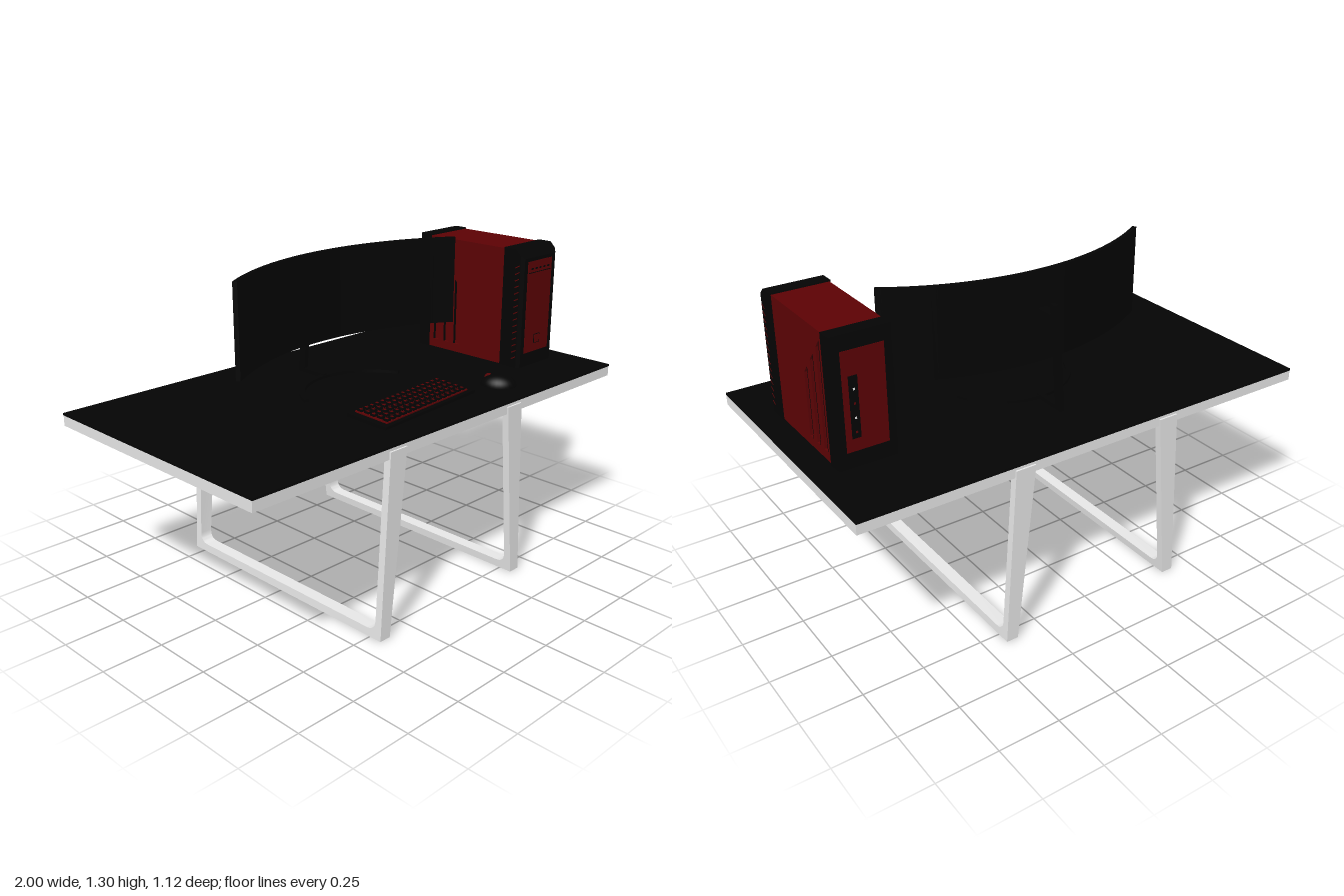
import * as THREE from 'three';
import { toCreasedNormals } from 'three/addons/utils/BufferGeometryUtils.js';
import { ConvexGeometry } from 'three/addons/geometries/ConvexGeometry.js';

const mat = (name, color) => new THREE.MeshStandardMaterial({ name, color });

export function createModel() {
  const black = mat('black', 0x040404);
  const red = mat('dark red', 0x5c0204);
  const white = mat('white', 0xf0f0f0);
  const root = new THREE.Group();
  root.name = 'computerDesk';

  const group = (name, parent = root) => {
    const g = new THREE.Group();
    g.name = name;
    parent.add(g);
    return g;
  };
  const add = (parent, name, geo, m) => {
    const mesh = new THREE.Mesh(geo, m);
    mesh.name = name;
    parent.add(mesh);
    return mesh;
  };
  // box given by its min and max corners
  const box = (parent, name, m, [x0, x1], [y0, y1], [z0, z1]) => {
    const mesh = add(parent, name, new THREE.BoxGeometry(x1 - x0, y1 - y0, z1 - z0), m);
    mesh.position.set((x0 + x1) / 2, (y0 + y1) / 2, (z0 + z1) / 2);
    return mesh;
  };
  const poly = (pts) => new THREE.Shape(pts.map(([a, b]) => new THREE.Vector2(a, b)));
  // outline in (-z, y), extruded along +x from x0
  const sideExtrude = (shape, x0, width) =>
    new THREE.ExtrudeGeometry(shape, { depth: width, bevelEnabled: false, curveSegments: 8 })
      .rotateY(Math.PI / 2).translate(x0, 0, 0);
  // curved band seen from above, bulging to -z
  const arcBand = (cz, rIn, rOut, half, y0, h) => {
    const s = new THREE.Shape();
    const a = Math.PI / 2;
    s.absarc(0, -cz, rOut, a - half, a + half, false);
    s.absarc(0, -cz, rIn, a + half, a - half, true);
    const g = new THREE.ExtrudeGeometry(s, { depth: h, bevelEnabled: false, curveSegments: 32 });
    return toCreasedNormals(g.rotateX(-Math.PI / 2).translate(0, y0, 0), 0.5);
  };

  // Table: black top, white rim, recessed underside
  const table = group('table');
  box(table, 'tableTop', black, [-1, 1], [0.757, 0.766], [-0.555, 0.555]);
  const rim = poly([[-1, -0.553], [1, -0.553], [1, 0.553], [-1, 0.553]]);
  rim.holes.push(poly([[-0.96, -0.513], [-0.96, 0.513], [0.96, 0.513], [0.96, -0.513]]));
  add(table, 'tableRim', new THREE.ExtrudeGeometry(rim, { depth: 0.042, bevelEnabled: false })
    .rotateX(-Math.PI / 2).translate(0, 0.715, 0), white);
  box(table, 'underside', white, [-0.965, 0.965], [0.735, 0.756], [-0.52, 0.52]);

  // U-shaped leg frames, tapering and splaying towards the floor
  const u = new THREE.Shape();
  u.moveTo(-0.555, 0);
  u.lineTo(0.555, 0);
  u.lineTo(0.56, 0.745);
  u.lineTo(0.53, 0.745);
  u.lineTo(0.525, 0.073);
  u.quadraticCurveTo(0.522, 0.033, 0.482, 0.033);
  u.lineTo(-0.482, 0.033);
  u.quadraticCurveTo(-0.522, 0.033, -0.525, 0.073);
  u.lineTo(-0.53, 0.745);
  u.lineTo(-0.56, 0.745);
  const legGeo = sideExtrude(u, 0, 1);
  const p = legGeo.attributes.position;
  for (let i = 0; i < p.count; i++) {
    const t = p.getY(i) / 0.745;
    p.setX(i, THREE.MathUtils.lerp(0.365 - 0.075 * t, 0.415 - 0.04 * t, p.getX(i)));
  }
  const legSmooth = toCreasedNormals(legGeo, 0.5);
  add(table, 'leftLegFrame', legSmooth, white);
  add(table, 'rightLegFrame', legSmooth, white).rotation.y = Math.PI;

  // Curved monitor on a slanted column with an arc-shaped foot
  const monitor = group('monitor');
  add(monitor, 'screen', arcBand(0.905, 1.072, 1.09, 0.587, 0.928, 0.37), black);
  add(monitor, 'foot', arcBand(0.105, 0.27, 0.292, 1.2, 0.766, 0.012), black);
  box(monitor, 'footBar', black, [-0.01, 0.01], [0.766, 0.784], [-0.322, -0.17]);
  add(monitor, 'column', sideExtrude(
    poly([[0.289, 0.768], [0.322, 0.768], [0.279, 1.187], [0.246, 1.187]]), -0.01, 0.02), black);
  box(monitor, 'mount', black, [-0.02, 0.02], [1.08, 1.15], [-0.262, -0.18]);

  // Computer tower: red body between two black caps
  const tower = group('tower');
  const X0 = 0.665, X1 = 0.905, Y0 = 0.766, Y1 = 1.275;
  box(tower, 'core', red, [X0 + 0.014, X1 - 0.014], [0.767, 1.27], [-0.2, 0.225]);
  // side panels with slant-topped vents
  const panel = poly([[-0.222, 0.768], [0.188, 0.768], [0.188, 1.27], [-0.222, 1.27]]);
  for (const [a, top] of [[0.015, 1.06], [0.073, 1.13], [0.131, 1.2]]) {
    panel.holes.push(poly([[a, 0.805], [a, top], [a + 0.03, top + 0.035], [a + 0.03, 0.805]]));
    // dark shadow gap along the rear edge of each vent
    for (const x of [X0 + 0.005, X1 - 0.014]) {
      box(tower, 'ventGap', black, [x, x + 0.009], [0.805, top + 0.03], [-a - 0.03, -a - 0.026]);
    }
  }
  add(tower, 'leftPanel', sideExtrude(panel, X1 - 0.014, 0.009), red);
  add(tower, 'rightPanel', sideExtrude(panel, X0 + 0.005, 0.009), red);
  // a cap is a convex block narrowing towards its outer face
  const cap = (name, rings) => {
    const pts = [];
    for (const [z, inset, y1] of rings) {
      for (const x of [X0 + inset, X1 - inset]) {
        pts.push(new THREE.Vector3(x, Y0, z), new THREE.Vector3(x, y1, z));
      }
    }
    add(tower, name, new ConvexGeometry(pts), black);
  };
  cap('frontCap', [[0.22, 0, Y1], [0.28, 0, Y1], [0.306, 0, 1.249], [0.318, 0.015, 1.235]]);
  cap('backCap', [[-0.185, 0, Y1], [-0.23, 0, Y1], [-0.245, 0.006, Y1]]);

  // front face details
  box(tower, 'frontPlate', red, [0.702, 0.866], [0.825, 1.22], [0.315, 0.32]);
  box(tower, 'driveSeam', black, [0.708, 0.86], [1.17, 1.173], [0.318, 0.3215]);
  for (let i = 0; i < 5; i++) {
    const x = 0.725 + i * 0.027;
    box(tower, 'frontPort', black, [x, x + 0.014], [1.184, 1.191], [0.318, 0.3215]);
  }
  box(tower, 'powerButtonRing', black, [0.764, 0.804], [0.86, 0.9], [0.318, 0.3215]);
  box(tower, 'powerButton', red, [0.767, 0.801], [0.863, 0.897], [0.319, 0.3225]);
  // slanted slits along both sides of the front cap
  for (const x of [X0, X1]) {
    for (let i = 0; i < 15; i++) {
      const slit = add(tower, 'sideSlit', new THREE.BoxGeometry(0.002, 0.004, 0.024), red);
      slit.position.set(x, 0.81 + i * 0.028, 0.292);
      slit.rotation.x = -0.5;
    }
  }

  // back face details
  box(tower, 'backPlate', red, [0.702, 0.868], [0.83, 1.215], [-0.247, -0.243]);
  box(tower, 'portStrip', black, [0.81, 0.845], [0.88, 1.12], [-0.248, -0.244]);
  for (let i = 0; i < 4; i++) {
    const y = 0.9 + i * 0.055;
    box(tower, 'backPort', i % 2 ? white : red, [0.822, 0.83], [y, y + 0.008], [-0.249, -0.245]);
  }

  // Keyboard: tilted, with a red glowing plate between black keys
  const keyboard = group('keyboard');
  keyboard.position.set(0, 0.772, 0.32);
  keyboard.rotation.set(0.07, 0.075, 0);
  box(keyboard, 'keyboardBase', black, [-0.28, 0.28], [-0.001, 0.014], [-0.095, 0.095]);
  box(keyboard, 'backlight', red, [-0.252, 0.252], [0.012, 0.019], [-0.078, 0.078]);
  const cols = 16, rows = 5;
  for (let r = 0; r < rows; r++) {
    for (let c = 0; c < cols; c++) {
      const x = -0.25 + c * 0.03125 + (r % 2) * 0.003;
      const z = -0.076 + r * 0.0308;
      box(keyboard, 'key', black, [x + 0.004, x + 0.026], [0.018, 0.026], [z + 0.004, z + 0.026]);
      box(keyboard, 'keyMark', red, [x + 0.01, x + 0.02], [0.024, 0.0268], [z + 0.008, z + 0.02]);
    }
  }

  // Mouse: rounded shell with a red wheel and side glow
  const mouse = group('mouse');
  mouse.position.set(0.435, 0.766, 0.396);
  mouse.rotation.y = 0.5;
  add(mouse, 'mouseShell', new THREE.SphereGeometry(1, 24, 12, 0, Math.PI * 2, 0, Math.PI / 2)
    .scale(0.058, 0.048, 0.074), black);
  const wheel = add(mouse, 'mouseWheel', new THREE.CylinderGeometry(0.016, 0.016, 0.012, 16), red);
  wheel.rotation.z = Math.PI / 2;
  wheel.position.set(0, 0.03, -0.042);

  return root;
}
